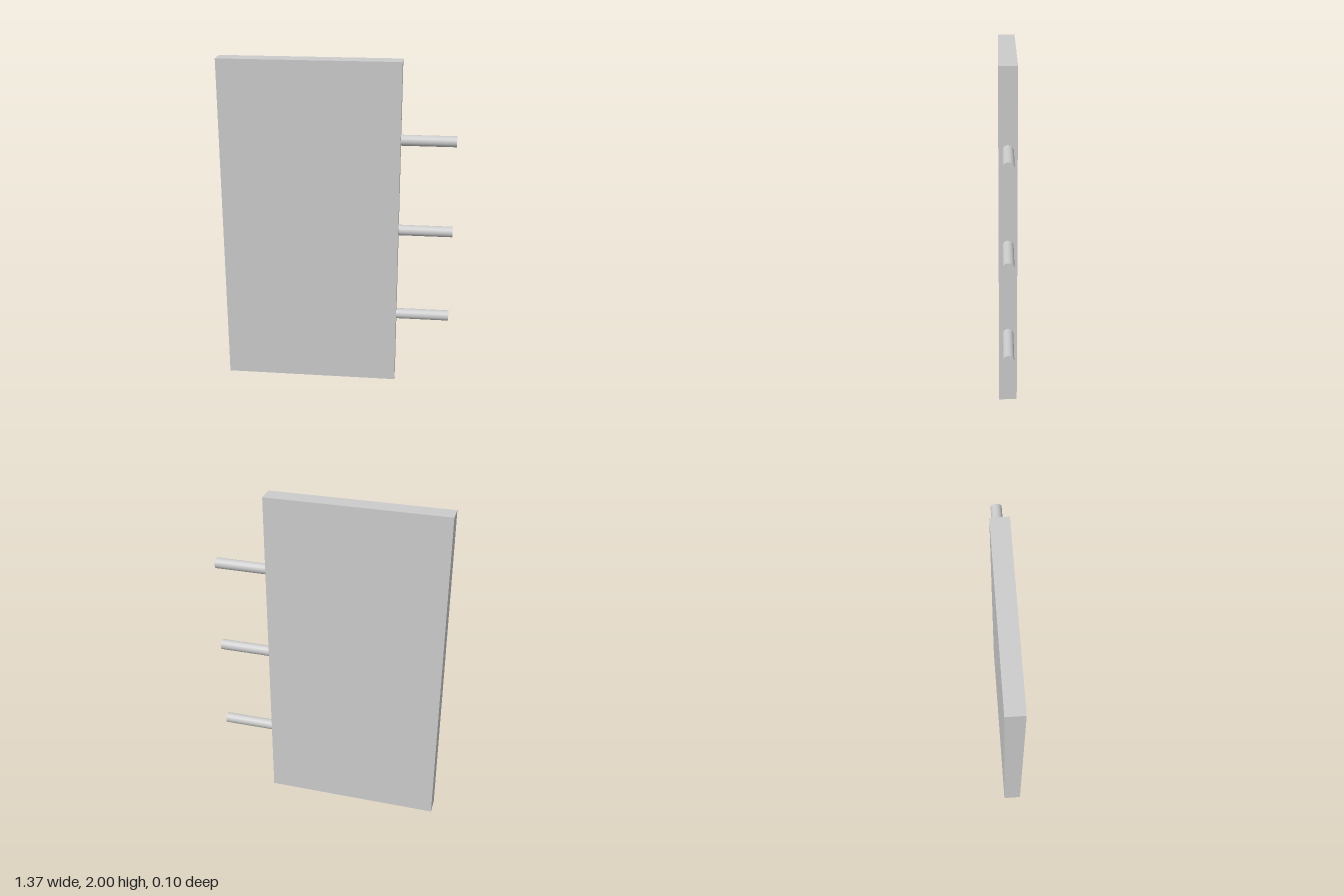
import * as THREE from 'three';

export function createModel() {
  const model = new THREE.Group();
  model.name = 'panelWithPegs';
  const material = new THREE.MeshStandardMaterial({ color: 0xcccccc });

  const left = -0.683, edge = 0.365, tip = 0.683;

  // Flat upright panel
  const panel = new THREE.Mesh(new THREE.BoxGeometry(edge - left, 2, 0.105), material);
  panel.name = 'panel';
  panel.position.set((left + edge) / 2, 1, 0);
  model.add(panel);

  // Three round pegs sticking out of one long edge
  const pegGeometry = new THREE.CylinderGeometry(0.0315, 0.0315, tip - edge, 32);
  pegGeometry.rotateZ(-Math.PI / 2);
  ['lowerPeg', 'middlePeg', 'upperPeg'].forEach((name, i) => {
    const peg = new THREE.Mesh(pegGeometry, material);
    peg.name = name;
    peg.position.set((edge + tip) / 2, 0.439 + i * 0.552, 0);
    model.add(peg);
  });

  return model;
}
